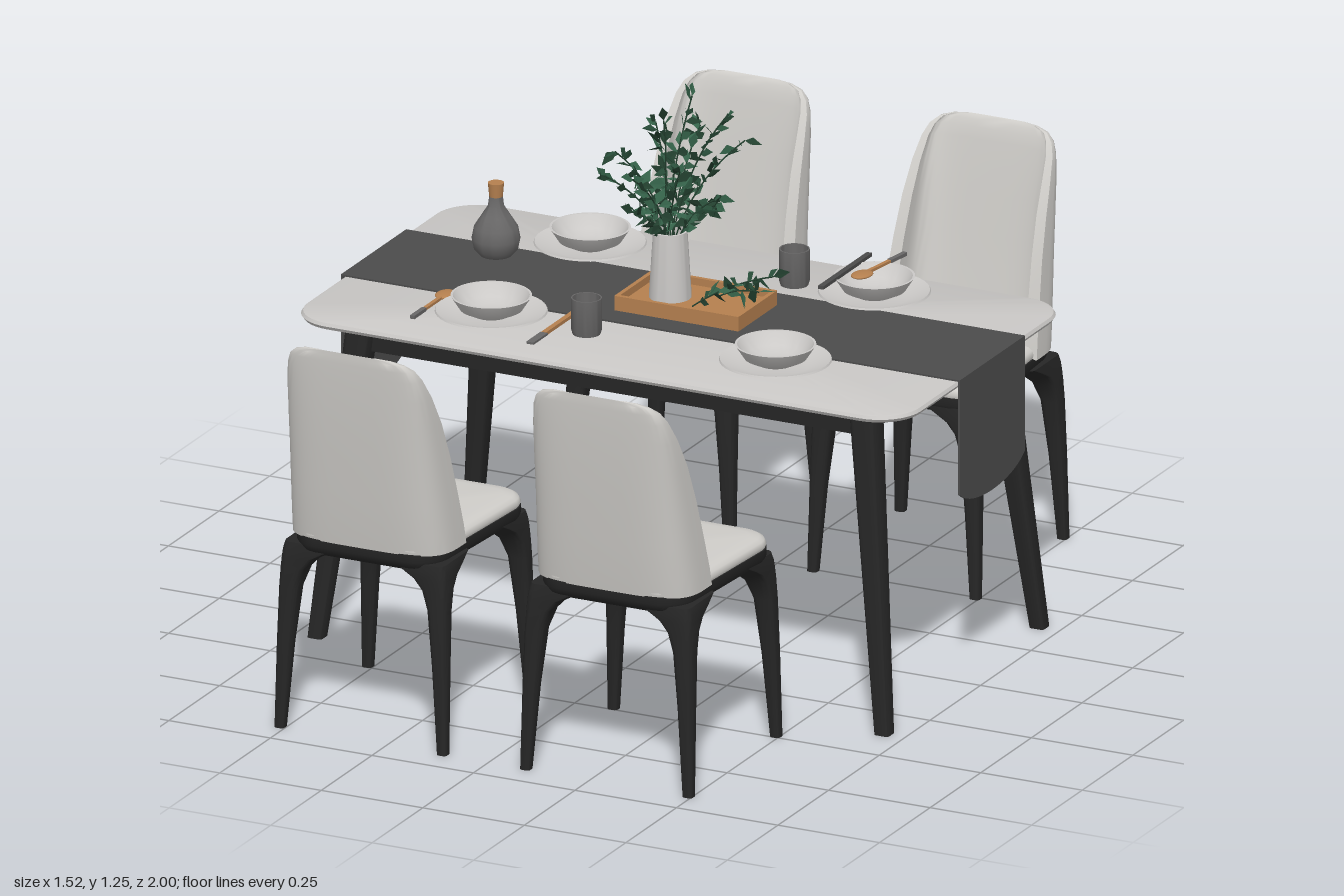
import * as THREE from 'three';
import { toCreasedNormals } from 'three/addons/utils/BufferGeometryUtils.js';

const mat = (name, color, side = THREE.FrontSide) => {
  const m = new THREE.MeshStandardMaterial({ color, side });
  m.name = name;
  return m;
};
const M = {
  fabric: mat('paleFabric', 0xcfcdc9),
  top: mat('paleTableTop', 0xc9c7c5),
  black: mat('blackWood', 0x262626),
  runner: mat('charcoalCloth', 0x4c4c4c, THREE.DoubleSide),
  wood: mat('warmWood', 0xb5804f),
  stone: mat('greyStoneware', 0x686767),
  ceramic: mat('whiteCeramic', 0xcbc9c7),
  leaf: mat('greenLeaf', 0x35634a, THREE.DoubleSide),
  darkLeaf: mat('darkGreenLeaf', 0x223f2e, THREE.DoubleSide),
};
const V = (x, y, z) => new THREE.Vector3(x, y, z);
const TOP = 0.756; // table surface height

function add(parent, name, geo, material, x = 0, y = 0, z = 0) {
  const mesh = new THREE.Mesh(geo, material);
  mesh.name = name;
  mesh.position.set(x, y, z);
  parent.add(mesh);
  return mesh;
}
function group(parent, name, x = 0, y = 0, z = 0) {
  const g = new THREE.Group();
  g.name = name;
  g.position.set(x, y, z);
  parent.add(g);
  return g;
}
// Skin over rings that run counterclockwise seen from above, bottom to top
function loft(rings, cap = true, crease = 0.6) {
  const pos = [], n = rings[0].length;
  const tri = (...pts) => pts.forEach(p => pos.push(p.x, p.y, p.z));
  for (let i = 0; i < rings.length - 1; i++) for (let j = 0; j < n; j++) {
    const k = (j + 1) % n, a = rings[i], b = rings[i + 1];
    tri(a[j], a[k], b[k]);
    tri(a[j], b[k], b[j]);
  }
  if (cap) for (const [ring, up] of [[rings[0], false], [rings[rings.length - 1], true]]) {
    const c = ring.reduce((s, p) => s.add(p), V(0, 0, 0)).divideScalar(n);
    for (let j = 0; j < n; j++) {
      const p = ring[j], q = ring[(j + 1) % n];
      up ? tri(c, p, q) : tri(c, q, p);
    }
  }
  const geo = new THREE.BufferGeometry();
  geo.setAttribute('position', new THREE.Float32BufferAttribute(pos, 3));
  geo.computeVertexNormals();
  return toCreasedNormals(geo, crease);
}
// Horizontal rounded rectangle as a ring
function roundRing(cx, y, cz, hw, hd, r, seg = 6) {
  const pts = [];
  [[1, -1], [-1, -1], [-1, 1], [1, 1]].forEach(([sx, sz], q) => {
    for (let i = 0; i <= seg; i++) {
      const a = (q + i / seg) * Math.PI / 2;
      pts.push(V(cx + sx * (hw - r) + r * Math.cos(a), y, cz + sz * (hd - r) - r * Math.sin(a)));
    }
  });
  return pts;
}
const lathe = (pts, seg = 40) =>
  toCreasedNormals(new THREE.LatheGeometry(pts.map(p => new THREE.Vector2(...p)), seg), 0.7);

function buildTable(root) {
  const g = group(root, 'table', 0, 0, -0.012);
  // thin top with an undercut edge
  const profile = [[0.09, 0.718], [0.03, 0.728], [0.005, 0.738], [0, 0.746], [0.004, 0.753], [0.01, 0.755]];
  add(g, 'tableTop', loft(profile.map(([inset, y]) =>
    roundRing(0, y, 0, 0.757 - inset, 0.422 - inset, 0.1 - inset * 0.6, 10))), M.top);
  for (const s of [-1, 1]) {
    add(g, 'longApron', new THREE.BoxGeometry(1.22, 0.055, 0.022), M.black, 0, 0.693, s * 0.31);
    add(g, 'shortApron', new THREE.BoxGeometry(0.022, 0.055, 0.6), M.black, s * 0.61, 0.693, 0);
    for (const t of [-1, 1])
      add(g, 'tableLeg', loft([[0.698, 0, 0.383, 0.018], [0.62, 0.722, 0.315, 0.031]].map(([x, y, z, h]) =>
        roundRing(s * x, y, t * z, h, h, h * 0.4, 4))), M.black);
  }
}

function buildRunner(root) {
  const g = group(root, 'tableRunner', 0, 0, -0.035);
  add(g, 'runnerTop', new THREE.BoxGeometry(1.52, 0.004, 0.322), M.runner, 0, 0.757, 0);
  const s = new THREE.Shape();
  s.moveTo(-0.161, 0.759);
  s.lineTo(-0.161, 0.49);
  s.bezierCurveTo(-0.1, 0.437, 0.1, 0.437, 0.161, 0.49);
  s.lineTo(0.161, 0.759);
  const drape = new THREE.ExtrudeGeometry(s, { depth: 0.004, bevelEnabled: false, curveSegments: 20 });
  drape.rotateY(Math.PI / 2);
  for (const x of [-0.762, 0.758]) add(g, 'runnerDrape', drape, M.runner, x, 0, 0);
}

function buildChair(root, x, turn) {
  const g = group(root, 'chair', x, 0, turn ? -0.003 : 0);
  g.rotation.y = turn;
  // seat outline narrows toward the backrest
  const seatRing = (y, inset) => roundRing(0, y, 0.713, 0.203 - inset, 0.222 - inset, 0.07 - inset).map(p => {
    const s = Math.max(0, (p.z - 0.56) / 0.37);
    return p.setX(p.x * (1 - 0.14 * s * s));
  });
  add(g, 'seatFrame', loft([[0.412, 0.03], [0.425, 0.008], [0.44, 0], [0.458, 0]].map(p => seatRing(...p))), M.black);
  add(g, 'seatCushion', loft([[0.456, 0.004], [0.466, 0], [0.476, 0.005], [0.482, 0.016], [0.485, 0.04]]
    .map(p => seatRing(...p)), true, 1), M.fabric);
  // legs flare inward into the frame: height, outer offset, thickness
  const legSteps = [[0, 0.212, 0.024], [0.2, 0.209, 0.036], [0.33, 0.206, 0.047],
    [0.375, 0.204, 0.06], [0.4, 0.202, 0.08], [0.418, 0.2, 0.11], [0.435, 0.196, 0.14]];
  for (const sx of [-1, 1]) for (const sz of [-1, 1])
    add(g, sz > 0 ? 'backLeg' : 'frontLeg', loft(legSteps.map(([y, o, t]) =>
      roundRing(sx * (o - t / 2), y, 0.707 + sz * (o + 0.016 - t / 2), t / 2, t / 2, Math.min(t * 0.3, 0.016), 4))), M.black);
  // wraparound backrest: height, half width, wing front z, back z, thickness
  const rows = [[0.456, 0.196, 0.80, 0.937, 0.03], [0.50, 0.194, 0.808, 0.945, 0.03], [0.58, 0.189, 0.828, 0.957, 0.028],
    [0.67, 0.183, 0.852, 0.97, 0.026], [0.76, 0.177, 0.884, 0.982, 0.024], [0.83, 0.17, 0.918, 0.99, 0.02],
    [0.88, 0.161, 0.948, 0.995, 0.016], [0.905, 0.15, 0.965, 0.997, 0.013], [0.92, 0.132, 0.979, 0.998, 0.008],
    [0.928, 0.105, 0.988, 0.998, 0.004], [0.931, 0.07, 0.995, 0.998, 0]];
  const N = 28, pw = v => Math.sign(v) * Math.abs(v) ** 0.5;
  const arc = (y, w, zf, zb) => Array.from({ length: N + 1 }, (_, i) => {
    const a = Math.PI * i / N;
    return V(-w * pw(Math.cos(a)), y, zf + (zb - zf) * pw(Math.max(0, Math.sin(a))));
  });
  add(g, 'backrest', loft(rows.map(([y, w, zf, zb, t]) =>
    [...arc(y, w, zf, zb), ...arc(y, w - t, zf, zb - t).reverse()]), false, 1), M.fabric);
}

function buildTableware(root) {
  const g = group(root, 'tableware', 0, TOP, 0);
  const plate = lathe([[0, 0], [0.08, 0.002], [0.125, 0.017], [0.123, 0.021], [0.08, 0.008], [0, 0.008]]);
  const bowl = lathe([[0, 0], [0.04, 0], [0.07, 0.015], [0.09, 0.046], [0.085, 0.046], [0.064, 0.018], [0.045, 0.009], [0, 0.008]]);
  for (const x of [-0.345, 0.355]) for (const z of [-0.268, 0.22]) {
    add(g, 'plate', plate, M.ceramic, x, 0, z);
    add(g, 'bowl', bowl, M.ceramic, x, 0.008, z);
  }
  const cup = lathe([[0.031, 0], [0.034, 0.01], [0.034, 0.084], [0.031, 0.084], [0.031, 0]], 32);
  for (const [x, z] of [[-0.113, 0.215], [0.157, -0.27]]) add(g, 'cup', cup, M.stone, x, 0, z);

  // cutlery lies along z, with a dark handle end
  const spoon = (x, y, z, turn) => {
    const s = group(g, 'spoon', x, y, z);
    s.rotation.y = turn;
    const head = new THREE.SphereGeometry(1, 20, 12);
    head.scale(0.022, 0.006, 0.03);
    add(s, 'spoonHead', head, M.wood, 0, 0, -0.065);
    add(s, 'spoonNeck', new THREE.BoxGeometry(0.009, 0.006, 0.08), M.wood, 0, 0, 0);
    add(s, 'spoonHandle', new THREE.BoxGeometry(0.011, 0.008, 0.06), M.stone, 0, 0, 0.07);
  };
  spoon(-0.495, 0.006, 0.21, 0);
  spoon(0.343, 0.058, -0.315, Math.PI - 0.15);
  const knife = group(g, 'knife', -0.19, 0.005, 0.22);
  add(knife, 'knifeHandle', new THREE.BoxGeometry(0.012, 0.008, 0.17), M.wood, 0, 0, -0.035);
  add(knife, 'knifeBlade', new THREE.BoxGeometry(0.018, 0.005, 0.07), M.stone, 0, 0, 0.085);
  add(g, 'chopstick', new THREE.BoxGeometry(0.013, 0.008, 0.24), M.runner, 0.287, 0.056, -0.26);

  // stoppered bottle
  const bottle = group(g, 'bottle', -0.513, 0.003, -0.14);
  add(bottle, 'bottleBody', lathe([[0, 0], [0.035, 0], [0.049, 0.015], [0.054, 0.04], [0.049, 0.066], [0.032, 0.093],
    [0.018, 0.115], [0.015, 0.138], [0, 0.138]]), M.stone);
  add(bottle, 'bottleStopper', new THREE.CylinderGeometry(0.018, 0.015, 0.034, 24), M.wood, 0, 0.152, 0);

  // shallow wooden tray
  const tray = group(g, 'tray', 0.034, 0.003, -0.03);
  add(tray, 'trayBase', new THREE.BoxGeometry(0.305, 0.016, 0.19), M.wood, 0, 0.01, 0);
  for (const s of [-1, 1]) {
    add(tray, 'traySide', new THREE.BoxGeometry(0.305, 0.034, 0.01), M.wood, 0, 0.018, s * 0.091);
    add(tray, 'trayEnd', new THREE.BoxGeometry(0.01, 0.034, 0.18), M.wood, s * 0.148, 0.018, 0);
  }
  add(g, 'flowerVase', lathe([[0, 0], [0.047, 0], [0.047, 0.01], [0.038, 0.156], [0.033, 0.156], [0.036, 0.1], [0, 0.1]]),
    M.ceramic, -0.028, 0.02, -0.028);
}

function buildPlant(root) {
  const g = group(root, 'plant');
  let seed = 7;
  const rnd = () => (seed = (seed * 16807) % 2147483647) / 2147483647;
  const spread = s => (rnd() - 0.5) * s;
  const pos = [[], []];
  // kite-shaped leaf folded along its midrib
  const leaf = (p, dir, len) => {
    const side = V(spread(2), spread(1), spread(2)).cross(dir).normalize().multiplyScalar(len * 0.27);
    const tip = p.clone().addScaledVector(dir, len);
    const mid = p.clone().addScaledVector(dir, len * 0.4).add(V(0, len * 0.08, 0));
    const out = pos[rnd() < 0.6 ? 0 : 1];
    for (const t of [[p, mid.clone().add(side), tip], [p, tip, mid.clone().sub(side)]])
      t.forEach(v => out.push(v.x, v.y, v.z));
  };
  const branch = (from, bend, to, leaves, start) => {
    const curve = new THREE.QuadraticBezierCurve3(from, bend, to);
    add(g, 'stem', new THREE.TubeGeometry(curve, 10, 0.0018, 5), M.darkLeaf);
    for (let i = 0; i < leaves; i++) {
      const t = start + (1 - start) * i / (leaves - 1);
      const dir = V(spread(2), spread(1.4), spread(2)).addScaledVector(curve.getTangent(t), 0.5).normalize();
      leaf(curve.getPoint(t), dir, 0.03 + rnd() * 0.016);
    }
  };
  const tips = [[0, 1.235, -0.08], [-0.04, 1.19, -0.02], [0.06, 1.18, -0.13], [-0.17, 1.06, 0.03], [-0.12, 1.13, 0.06],
    [0.08, 1.11, -0.18], [0.085, 1.02, -0.05], [-0.08, 0.99, 0.05], [-0.09, 1.16, -0.08], [-0.05, 1.09, 0.11],
    [0.03, 1.1, 0.04], [-0.04, 1.12, -0.2], [0.05, 0.98, -0.11], [-0.08, 1.0, -0.1]];
  for (const [x, y, z] of tips) {
    const base = V(-0.028 + spread(0.03), 0.88, -0.028 + spread(0.03));
    branch(base, V(-0.028 + (x + 0.028) * 0.25, 0.9 + (y - 0.9) * 0.65, -0.028 + (z + 0.028) * 0.25), V(x, y, z), 17, 0.3);
  }
  // loose sprig lying on the tray
  branch(V(0.06, 0.79, 0.04), V(0.1, 0.82, -0.06), V(0.16, 0.81, -0.16), 16, 0.1);
  branch(V(0.09, 0.795, -0.03), V(0.13, 0.82, -0.04), V(0.17, 0.805, -0.07), 9, 0.2);
  pos.forEach((p, i) => {
    const geo = new THREE.BufferGeometry();
    geo.setAttribute('position', new THREE.Float32BufferAttribute(p, 3));
    geo.computeVertexNormals();
    add(g, 'leaves', geo, i ? M.darkLeaf : M.leaf);
  });
}

export function createModel() {
  const root = new THREE.Group();
  root.name = 'diningSet';
  buildTable(root);
  buildRunner(root);
  for (const x of [-0.313, 0.292]) for (const turn of [0, Math.PI]) buildChair(root, x, turn);
  buildTableware(root);
  buildPlant(root);
  return root;
}
